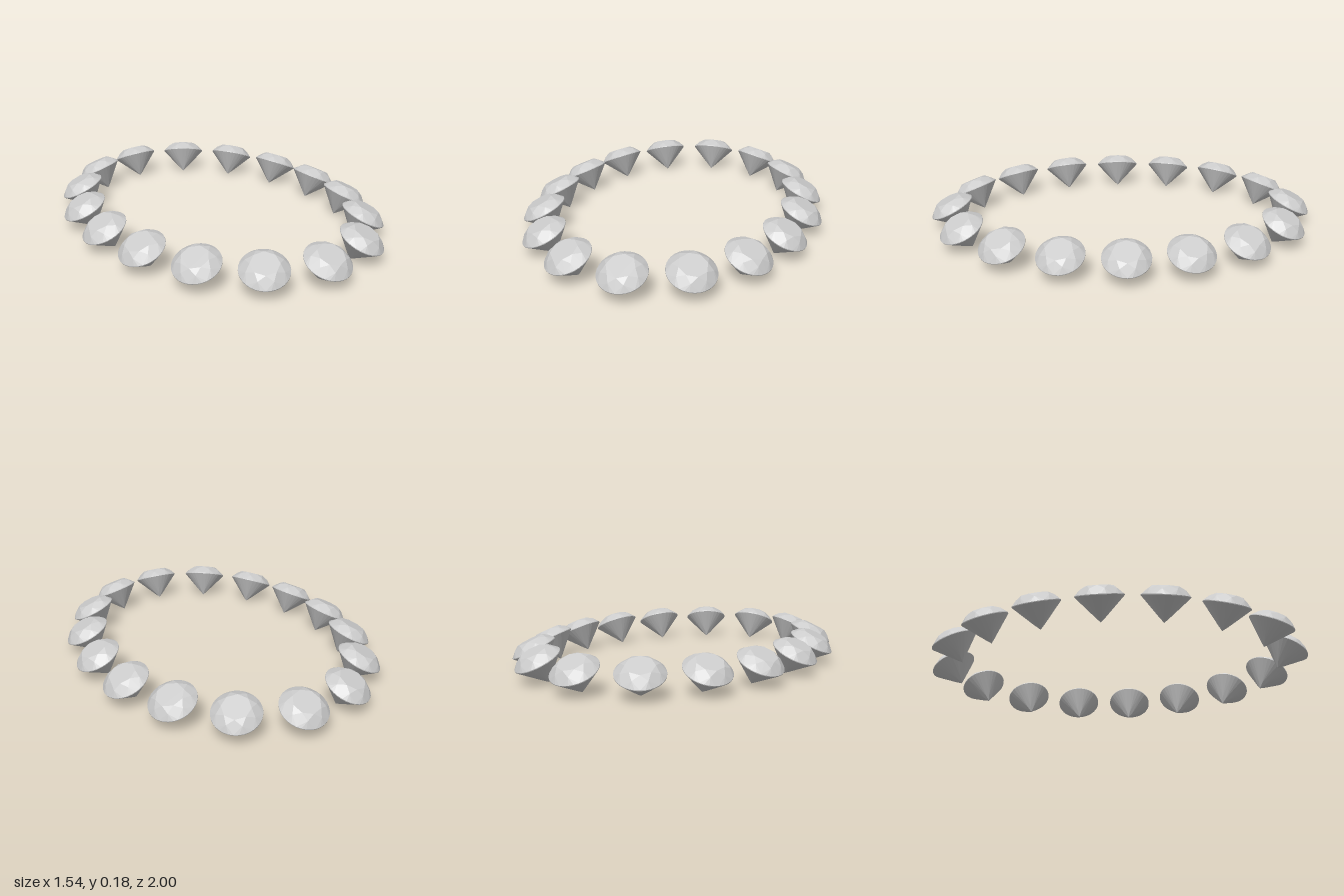
import * as THREE from 'three';

const GEM_COUNT = 16;
const RX = 0.665, RZ = 0.895;      // ellipse the gems sit on
const TILT = THREE.MathUtils.degToRad(26);
const GIRDLE_Y = 0.112;

// Round brilliant cut, girdle centred on the origin, table facing +y
function brilliantGeometry() {
  const position = [], index = [];
  const ring = (count, radius, y, offset = 0) =>
    Array.from({ length: count }, (_, i) => {
      const a = ((i + offset) / count) * Math.PI * 2;
      position.push(radius * Math.sin(a), y, radius * Math.cos(a));
      return position.length / 3 - 1;
    });
  const face = (...c) => {
    for (let i = 1; i < c.length - 1; i++) index.push(c[0], c[i], c[i + 1]);
  };

  const table = ring(8, 0.068, 0.046);
  const crown = ring(8, 0.094, 0.029, 0.5);
  const upper = ring(32, 0.1175, 0.002);
  const lower = ring(32, 0.1175, -0.002);
  const pavilion = ring(8, 0.025, -0.1, 0.5);
  const [culet] = ring(1, 0, -0.124);

  face(...table);
  for (let k = 0; k < 8; k++) {
    const next = (k + 1) % 8, prev = (k + 7) % 8;
    face(table[k], crown[k], table[next]);                      // star
    face(table[k], crown[prev], upper[4 * k], crown[k]);        // bezel kite
    face(culet, pavilion[k], lower[4 * k], pavilion[prev]);     // pavilion main
    for (let i = 4 * k; i < 4 * k + 4; i++) {
      const j = (i + 1) % 32;
      face(crown[k], upper[i], upper[j]);                       // upper halves
      face(upper[i], lower[i], lower[j], upper[j]);             // girdle
      face(pavilion[k], lower[j], lower[i]);                    // lower halves
    }
  }

  const indexed = new THREE.BufferGeometry();
  indexed.setAttribute('position', new THREE.Float32BufferAttribute(position, 3));
  indexed.setIndex(index);
  const geometry = indexed.toNonIndexed();
  geometry.computeVertexNormals();
  return geometry;
}

export function createModel() {
  const group = new THREE.Group();
  group.name = 'gemRing';
  const geometry = brilliantGeometry();
  const material = new THREE.MeshStandardMaterial({ color: 0xcccccc, flatShading: true });

  // Gems evenly spaced along the ellipse, each leaning outward along its normal
  const path = new THREE.EllipseCurve(0, 0, RX, RZ);
  path.arcLengthDivisions = 800;
  for (let i = 0; i < GEM_COUNT; i++) {
    const p = path.getPointAt(i / GEM_COUNT);
    const gem = new THREE.Mesh(geometry, material);
    gem.name = `gem${i + 1}`;
    gem.position.set(p.x, GIRDLE_Y, p.y);
    gem.rotation.order = 'YXZ';
    gem.rotation.set(TILT, Math.atan2(p.x / RX ** 2, p.y / RZ ** 2), 0);
    group.add(gem);
  }
  return group;
}
